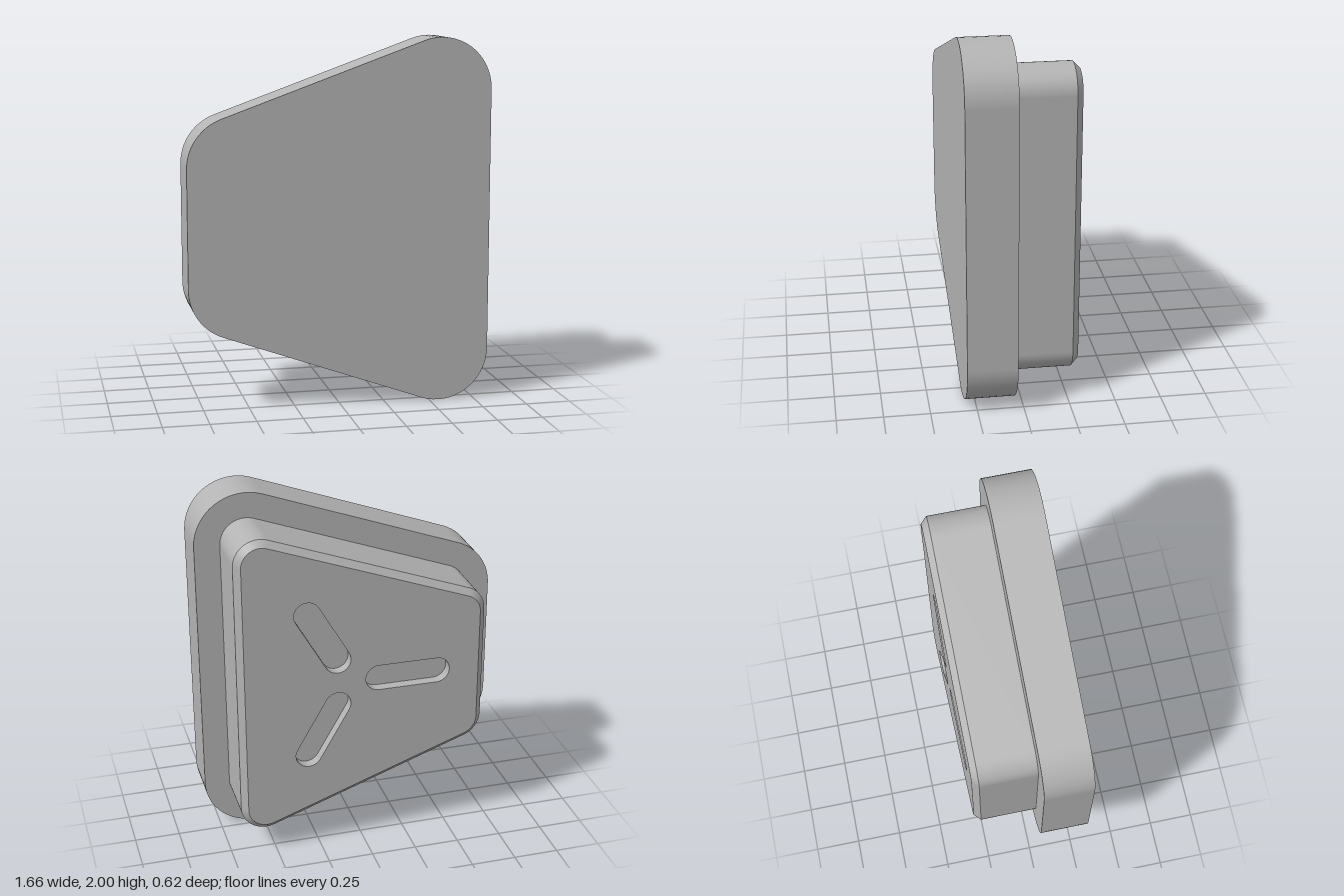
import * as THREE from 'three';
import { mergeGeometries } from 'three/addons/utils/BufferGeometryUtils.js';

// Rounded outline around corner centres (counter-clockwise): each sample keeps its centre and angle,
// so the outline can be offset to any radius with exact normals.
function outline(centres, steps = 16) {
  const n = centres.length;
  const edgeAngle = (a, b) => Math.atan2(a[0] - b[0], b[1] - a[1]);
  const samples = [];
  centres.forEach((c, i) => {
    const start = edgeAngle(centres[(i + n - 1) % n], c);
    const end = edgeAngle(c, centres[(i + 1) % n]);
    const sweep = (end - start + 4 * Math.PI) % (2 * Math.PI);
    for (let k = 0; k <= steps; k++) samples.push({ c, a: start + (sweep * k) / steps });
  });
  return samples;
}

const ring = (samples, r) =>
  samples.map(({ c, a }) => new THREE.Vector2(c[0] + r * Math.cos(a), c[1] + r * Math.sin(a)));

// Wall between two offsets of an outline; running towards -z faces outward, towards +z faces inward
function band(samples, z0, r0, z1, r1) {
  const len = Math.hypot(z1 - z0, r1 - r0);
  const nr = (z0 - z1) / len, nz = (r1 - r0) / len;
  const pos = [], nor = [], uv = [], idx = [], n = samples.length;
  for (const [z, r] of [[z0, r0], [z1, r1]]) {
    ring(samples, r).forEach((p, i) => {
      const a = samples[i].a;
      pos.push(p.x, p.y, z);
      nor.push(nr * Math.cos(a), nr * Math.sin(a), nz);
      uv.push(i / n, z);
    });
  }
  for (let i = 0; i < n; i++) {
    const j = (i + 1) % n;
    idx.push(i, i + n, j, j, i + n, j + n);
  }
  const g = new THREE.BufferGeometry();
  g.setAttribute('position', new THREE.Float32BufferAttribute(pos, 3));
  g.setAttribute('normal', new THREE.Float32BufferAttribute(nor, 3));
  g.setAttribute('uv', new THREE.Float32BufferAttribute(uv, 2));
  g.setIndex(idx);
  return g;
}

// Flat face, optionally with holes, facing +z or -z
function cap(points, z, facing, holes = []) {
  const shape = new THREE.Shape(points);
  shape.holes = holes.map((h) => new THREE.Path(h));
  const g = new THREE.ShapeGeometry(shape);
  if (facing < 0) {
    g.setIndex(Array.from(g.index.array).reverse());
    g.computeVertexNormals();
  }
  return g.translate(0, 0, z);
}

export function createModel() {
  const group = new THREE.Group();
  const grey = new THREE.MeshStandardMaterial({ color: 0xb4b4b4 });
  grey.name = 'grey';
  const add = (name, parts) => {
    const mesh = new THREE.Mesh(mergeGeometries(parts), grey);
    mesh.name = name;
    group.add(mesh);
  };

  const front = 0.31, step = 0.04, chamfer = -0.275, back = -0.31, floor = -0.25;
  const trapezoid = outline([[0.55, 0.28], [0.55, 1.72], [-0.55, 1.322], [-0.55, 0.678]]);

  // Wide front plate
  add('frontPlate', [
    band(trapezoid, front, 0.28, step, 0.28),
    cap(ring(trapezoid, 0.28), front, 1),
    cap(ring(trapezoid, 0.28), step, -1),
  ]);

  // Three slots radiating from a hub, 120 degrees apart
  const hub = [0.068, 1], slotRadius = 0.073;
  const slots = [60, 180, 300].map((deg) => {
    const a = THREE.MathUtils.degToRad(deg);
    return outline([0.153, 0.483].map((d) => [hub[0] + d * Math.cos(a), hub[1] + d * Math.sin(a)]));
  });

  // Smaller rear body with chamfered edge
  add('rearBody', [
    band(trapezoid, step, 0.14, chamfer, 0.14),
    band(trapezoid, chamfer, 0.14, back, 0.105),
    cap(ring(trapezoid, 0.105), back, -1, slots.map((s) => ring(s, slotRadius))),
  ]);

  // Recess walls and floors
  slots.forEach((s, i) => add(`slotRecess${i + 1}`, [
    band(s, back, slotRadius, floor, slotRadius),
    cap(ring(s, slotRadius), floor, -1),
  ]));

  return group;
}
